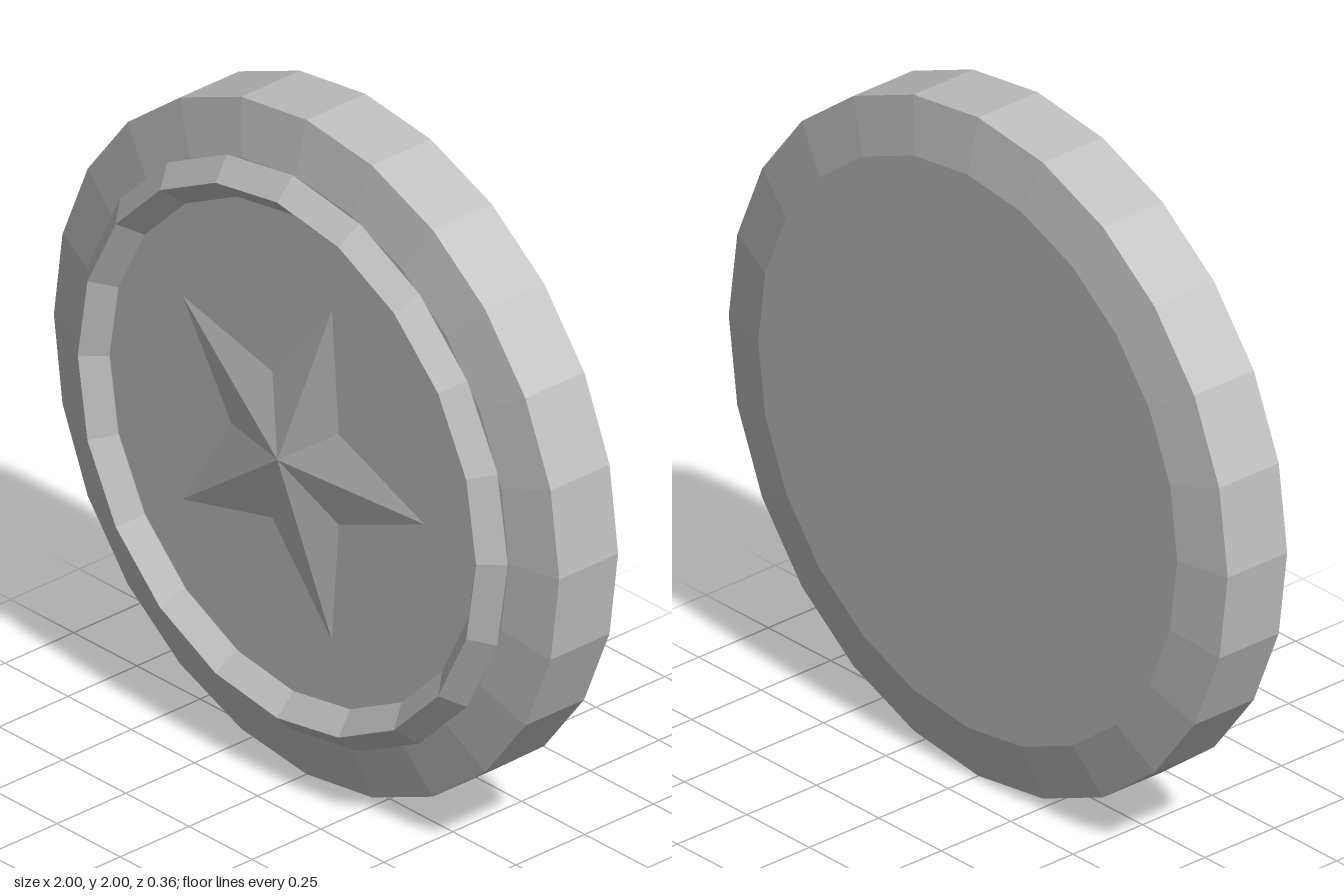
import * as THREE from 'three';

// Pointed star with a raised centre on both faces, lying in the xy plane
function starGeometry(points, outer, inner, height) {
  const corner = (i) => {
    const r = i % 2 === 0 ? outer : inner;
    const a = (i * Math.PI) / points;
    return [r * Math.cos(a), r * Math.sin(a), 0];
  };
  const positions = [];
  for (let i = 0; i < points * 2; i++) {
    const a = corner(i);
    const b = corner(i + 1);
    positions.push(0, 0, height, ...a, ...b); // front facet
    positions.push(0, 0, -height, ...b, ...a); // back facet
  }
  const geometry = new THREE.BufferGeometry();
  geometry.setAttribute('position', new THREE.Float32BufferAttribute(positions, 3));
  geometry.computeVertexNormals();
  return geometry;
}

export function createModel() {
  const group = new THREE.Group();
  group.name = 'coin';
  const metal = new THREE.MeshStandardMaterial({ color: 0xc0c0c0, flatShading: true });
  metal.name = 'silver grey';

  const add = (name, geometry, z) => {
    const mesh = new THREE.Mesh(geometry, metal);
    mesh.name = name;
    mesh.position.set(0, 1, z);
    group.add(mesh);
  };

  // Thick disc with bevelled rims, turned to face the front
  const profile = [[0, -0.145], [0.84, -0.145], [1, -0.107], [1, 0.107], [0.84, 0.145], [0, 0.145]]
    .map(([r, y]) => new THREE.Vector2(r, y));
  const disc = new THREE.LatheGeometry(profile, 24);
  disc.rotateX(Math.PI / 2);
  add('disc', disc, -0.035);

  // Raised ring with a diamond section
  add('raisedRing', new THREE.TorusGeometry(0.788, 0.06, 4, 20), 0.12);

  // Faceted star in the middle
  add('star', starGeometry(5, 0.53, 0.235, 0.048), 0.13);

  return group;
}
